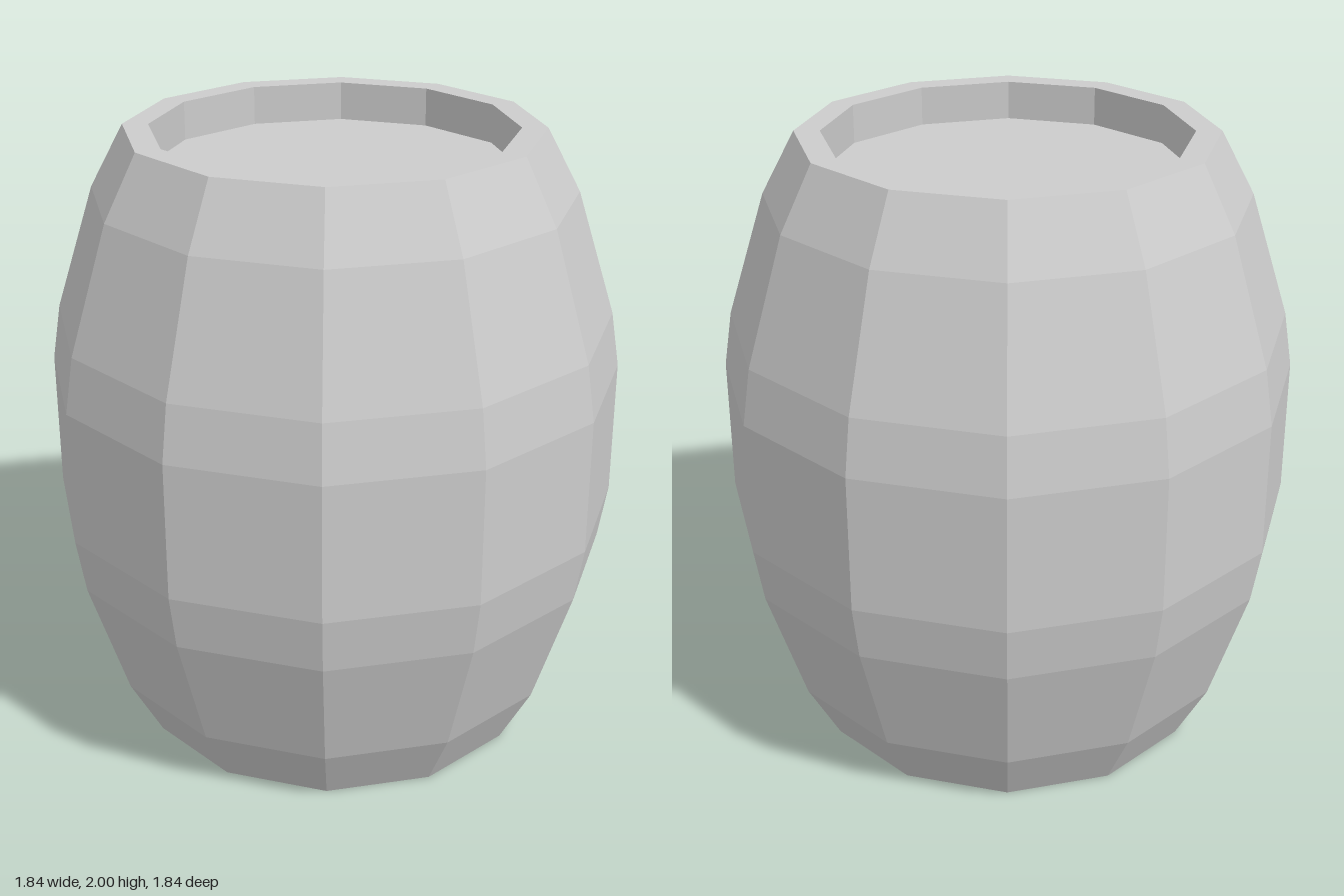
import * as THREE from 'three';

const SIDES = 12;
const HEIGHT = 2;
const INNER = 0.575; // radius inside the rims
const RECESS = 0.125; // depth of each lid below its rim

export function createModel() {
  const barrel = new THREE.Group();
  barrel.name = 'barrel';
  const material = new THREE.MeshStandardMaterial({ color: 0xcccccc, flatShading: true });

  const add = (name, geometry) => {
    const mesh = new THREE.Mesh(geometry, material);
    mesh.name = name;
    barrel.add(mesh);
    return mesh;
  };

  // Bulging staves with both rims: lower half profile, mirrored for the top
  const lower = [[INNER, RECESS], [INNER, 0], [0.656, 0], [0.763, 0.2], [0.89, 0.6], [0.919, 0.78]];
  const upper = lower.map(([r, y]) => [r, HEIGHT - y]).reverse();
  const profile = [...lower, ...upper].map(([r, y]) => new THREE.Vector2(r, y));
  add('staves', new THREE.LatheGeometry(profile, SIDES));

  // Recessed lids at both ends
  for (const [name, y, turn] of [['topLid', HEIGHT - RECESS, -1], ['bottomLid', RECESS, 1]]) {
    const lid = add(name, new THREE.CircleGeometry(INNER, SIDES));
    lid.rotation.x = turn * Math.PI / 2;
    lid.position.y = y;
  }

  return barrel;
}
